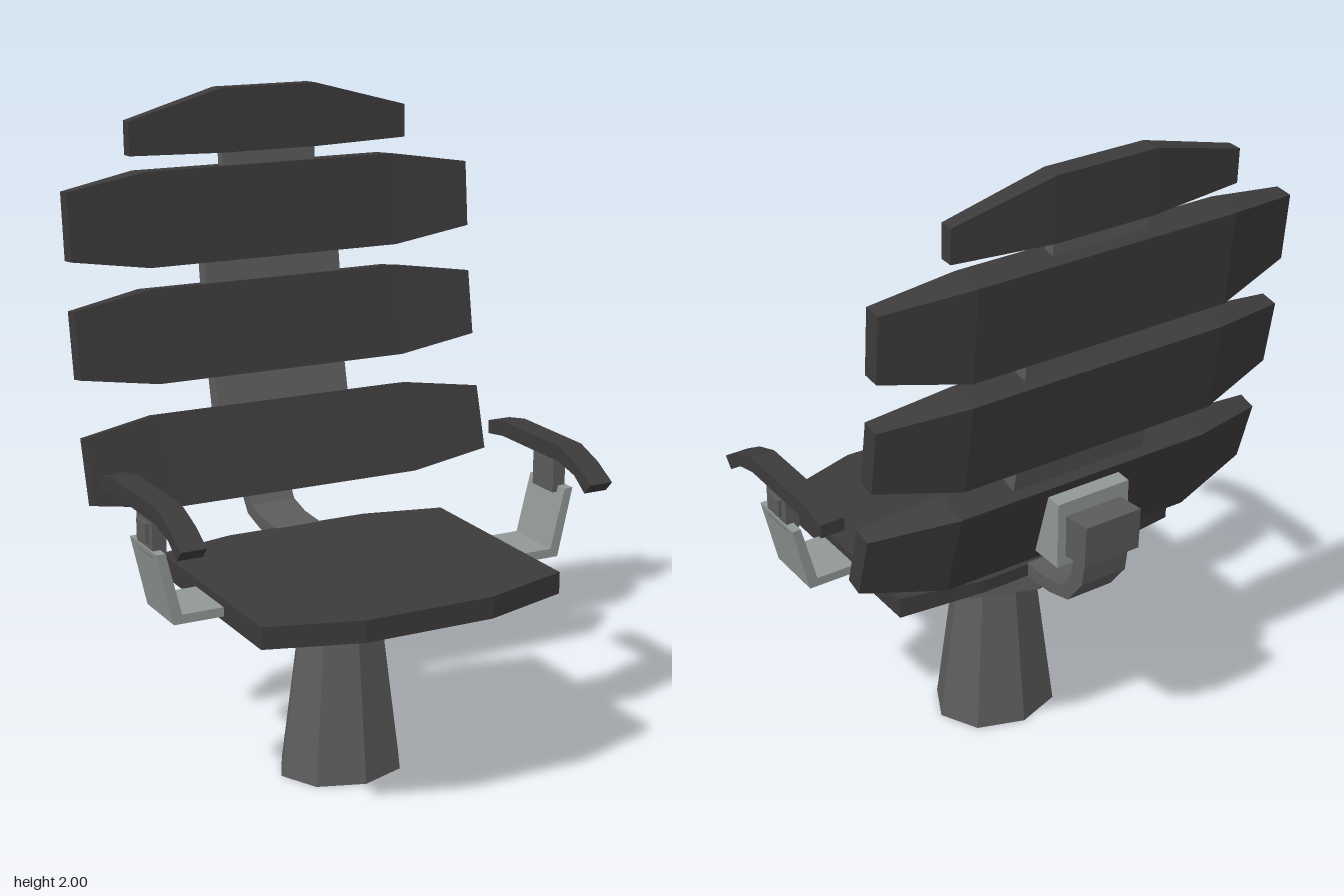
import * as THREE from 'three';

const material = (color) =>
  new THREE.MeshStandardMaterial({ color, flatShading: true });

export function createModel() {
  const chair = new THREE.Group();
  const leather = material(0x3d3a3b);
  const metal = material(0x5c5c5c);
  const bright = material(0x929896);

  const add = (name, geometry, mat, x = 0, y = 0, z = 0, tilt = 0) => {
    const mesh = new THREE.Mesh(geometry, mat);
    mesh.name = name;
    mesh.position.set(x, y, z);
    mesh.rotation.x = tilt;
    chair.add(mesh);
    return mesh;
  };
  const box = (w, h, d) => new THREE.BoxGeometry(w, h, d);
  const extrude = (points, depth) =>
    new THREE.ExtrudeGeometry(
      new THREE.Shape(points.map(([a, b]) => new THREE.Vector2(a, b))),
      { depth, bevelEnabled: false });
  // Side profile of [z, y] points, given a width across x
  const sideProfile = (points, width) =>
    extrude(points.map(([z, y]) => [-z, y]), width)
      .translate(0, 0, -width / 2).rotateY(Math.PI / 2);

  // Pedestal: eight-sided, narrower front to back
  const disc = (name, top, bottom, y0, y1, z, depthScale) =>
    add(name, new THREE.CylinderGeometry(top, bottom, y1 - y0, 8)
      .scale(1, 1, depthScale), metal, 0, (y0 + y1) / 2, z);
  disc('pedestal', 0.125, 0.2, 0, 0.55, 0.025, 0.83);
  disc('flange', 0.285, 0.285, 0.54, 0.59, 0.027, 0.86);
  disc('seatMount', 0.175, 0.175, 0.585, 0.62, 0.04, 0.75);

  // Seat: clipped corners, underside rising at the back edge
  const seat = extrude([
    [-0.2, -0.56], [0.2, -0.56], [0.475, -0.475], [0.475, 0.205],
    [0.23, 0.262], [-0.23, 0.262], [-0.475, 0.205], [-0.475, -0.475],
  ], 0.065).rotateX(-Math.PI / 2).translate(0, 0.615, 0);
  const p = seat.attributes.position;
  for (let i = 0; i < p.count; i++) {
    if (p.getZ(i) < -0.22 && p.getY(i) < 0.63) p.setY(i, 0.64);
  }
  seat.computeVertexNormals();
  add('seat', seat, leather);

  // Curved arm carrying the backrest, with its bracket and housing
  add('backSupport', sideProfile([
    [-0.15, 0.675], [-0.36, 0.685], [-0.435, 0.705], [-0.475, 0.765],
    [-0.49, 0.86], [-0.54, 0.86], [-0.525, 0.755], [-0.46, 0.67],
    [-0.37, 0.645], [-0.15, 0.63],
  ], 0.15), metal);
  add('backBracket', sideProfile([
    [-0.38, 1.01], [-0.47, 1.005], [-0.47, 0.8], [-0.33, 0.8],
  ], 0.24), bright);
  add('backHousing', sideProfile([
    [-0.465, 0.96], [-0.565, 0.97], [-0.56, 0.84], [-0.465, 0.83],
  ], 0.185), metal);

  // Slat: wide middle, ends lower, thinner and set forward
  const slat = (spec) => {
    const { half, mid, top, bottom, endTop, endBottom, front, back, endFront, endBack } = spec;
    const g = new THREE.BoxGeometry(2, 2, 2, 3, 1, 1);
    const v = g.attributes.position;
    for (let i = 0; i < v.count; i++) {
      const end = Math.abs(v.getX(i)) > 0.9;
      const up = v.getY(i) > 0;
      const fore = v.getZ(i) > 0;
      v.setXYZ(i, Math.sign(v.getX(i)) * (end ? half : mid),
        up ? (end ? endTop : top) : (end ? endBottom : bottom),
        fore ? (end ? endFront : front) : (end ? endBack : back));
    }
    const flat = g.toNonIndexed();
    flat.computeVertexNormals();
    return flat;
  };
  const wide = {
    half: 0.66, mid: 0.41, top: 0.14, bottom: -0.14, endTop: 0.1, endBottom: -0.1,
    front: 0.045, back: -0.06, endFront: 0.06, endBack: 0.005,
  };
  add('lowerSlat', slat(wide), leather, 0, 0.92, -0.335, -0.28);
  add('middleSlat', slat(wide), leather, 0, 1.285, -0.412, -0.165);
  add('upperSlat', slat(wide), leather, 0, 1.63, -0.448, -0.09);
  add('headSlat', slat({
    half: 0.455, mid: 0.155, top: 0.095, bottom: -0.095, endTop: 0.015, endBottom: -0.085,
    front: 0.025, back: -0.035, endFront: 0.032, endBack: -0.01,
  }), leather, 0, 1.905, -0.457, -0.03);

  // Links joining the slats
  add('lowerLink', box(0.44, 0.22, 0.05), metal, 0, 1.1, -0.385, -0.23);
  add('middleLink', box(0.45, 0.18, 0.045), metal, 0, 1.46, -0.44, -0.13);
  add('upperLink', box(0.305, 0.16, 0.035), metal, 0, 1.79, -0.457, -0.05);

  // Armrests, mirrored
  for (const side of [1, -1]) {
    const label = side > 0 ? 'left' : 'right';
    const profile = [
      [0.4, 0.63], [0.625, 0.63], [0.672, 0.84], [0.645, 0.84],
      [0.6, 0.657], [0.4, 0.657],
    ].map(([x, y]) => [side * x, y]);
    add(label + 'ArmBracket', extrude(profile, 0.19), bright, 0, 0, 0.045);
    add(label + 'ArmPost', box(0.042, 0.13, 0.11), metal, side * 0.647, 0.885, 0.143);
    add(label + 'ArmKnob', box(0.016, 0.055, 0.065), metal, side * 0.67, 0.885, 0.143);
    add(label + 'ArmPad', sideProfile([
      [-0.14, 0.965], [-0.05, 0.982], [0.26, 0.982], [0.35, 0.95], [0.425, 0.907],
      [0.395, 0.875], [0.34, 0.915], [0.255, 0.935], [-0.055, 0.935], [-0.14, 0.923],
    ], 0.075), leather, side * 0.643);
  }
  return chair;
}
